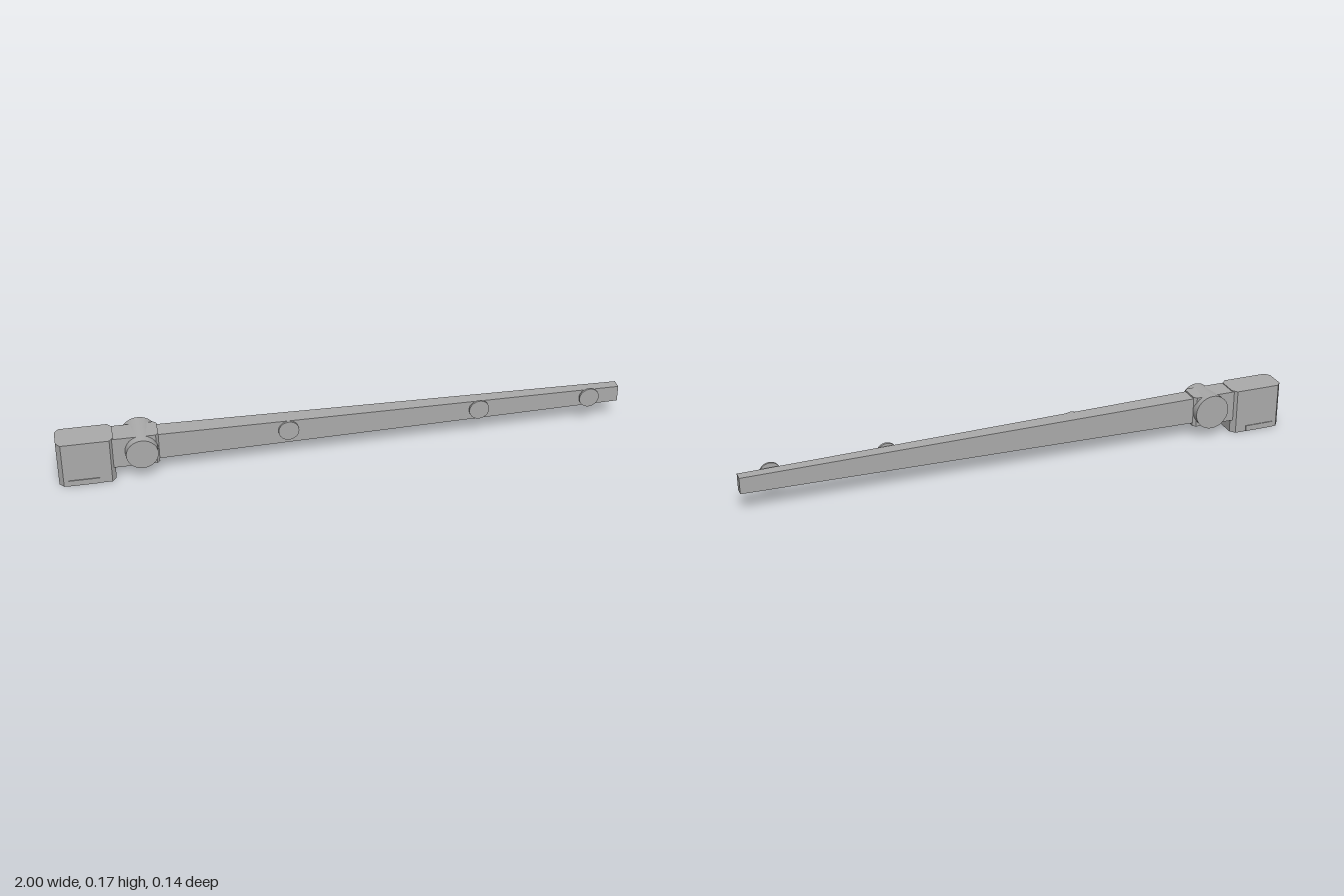
import * as THREE from 'three';

export function createModel() {
  const model = new THREE.Group();
  const grey = new THREE.MeshStandardMaterial({ color: 0xaaaaaa });
  grey.name = 'grey';

  function add(name, geometry, x = 0, y = 0, z = 0) {
    const mesh = new THREE.Mesh(geometry, grey);
    mesh.name = name;
    mesh.position.set(x, y, z);
    model.add(mesh);
    return mesh;
  }

  // Upright block whose four vertical edges are chamfered (cx along x, cz along z)
  function chamferedBlock(x0, x1, y0, y1, z0, z1, cx, cz) {
    const outline = [
      [x0 + cx, z0], [x1 - cx, z0], [x1, z0 + cz], [x1, z1 - cz],
      [x1 - cx, z1], [x0 + cx, z1], [x0, z1 - cz], [x0, z0 + cz],
    ].map(([x, z]) => new THREE.Vector2(x, -z));
    const geo = new THREE.ExtrudeGeometry(new THREE.Shape(outline), { depth: y1 - y0, bevelEnabled: false });
    return geo.rotateX(-Math.PI / 2).translate(0, y0, 0);
  }

  // Head block with a shallow strip low on each broad side
  add('headBlock', chamferedBlock(-1, -0.805, 0, 0.165, -0.056, 0.052, 0.015, 0.019));
  for (const [name, z] of [['frontStrip', 0.0525], ['backStrip', -0.0565]]) {
    add(name, new THREE.BoxGeometry(0.107, 0.021, 0.005), -0.915, 0.0115, z);
  }

  // Neck between head and arm
  add('neck', chamferedBlock(-0.83, -0.652, 0.048, 0.162, -0.045, 0.041, 0.01, 0.01));

  // Pivot drum through the neck, slightly wider at the back
  const drum = new THREE.CylinderGeometry(0.055, 0.0635, 0.139, 40);
  drum.rotateX(Math.PI / 2);
  add('pivotDrum', drum, -0.713, 0.1075, 0);

  // Arm tapering evenly towards its tip
  const arm = new THREE.BoxGeometry(1.66, 1, 1);
  const pos = arm.attributes.position;
  for (let i = 0; i < pos.count; i++) {
    const tip = pos.getX(i) > 0;
    pos.setY(i, pos.getY(i) * (tip ? 0.059 : 0.097));
    pos.setZ(i, pos.getZ(i) * (tip ? 0.036 : 0.067));
  }
  arm.computeVertexNormals();
  add('arm', arm, 0.17, 0.108, -0.002);

  // Thin round buttons along the front of the arm
  for (const x of [-0.202, 0.48, 0.886]) {
    const button = new THREE.CylinderGeometry(0.036, 0.036, 0.008, 32);
    button.rotateX(Math.PI / 2);
    add('button', button, x, 0.115, 0.031);
  }
  return model;
}
